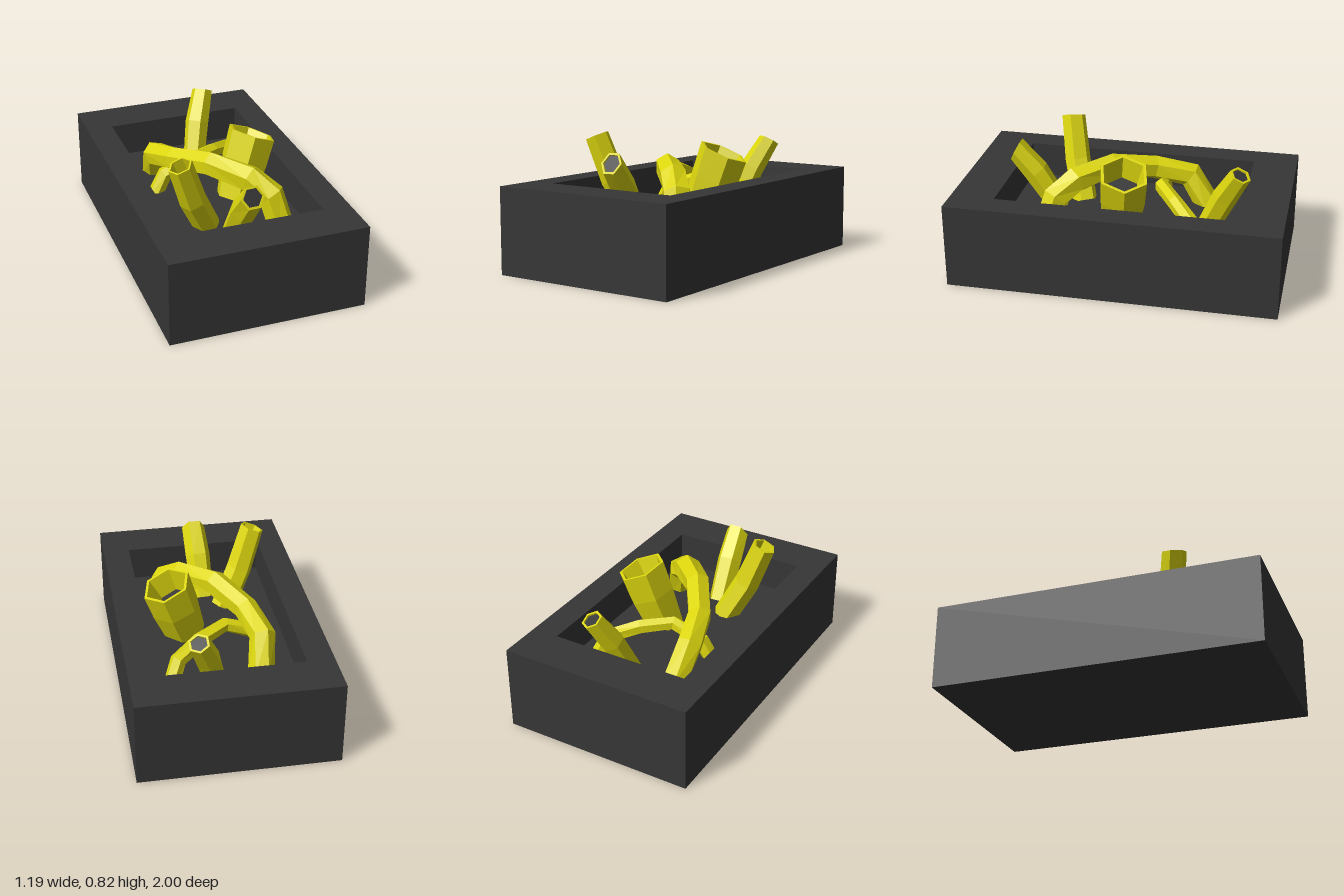
import * as THREE from 'three';

const W = 1.19, L = 2, H = 0.525; // outer size of the tray
const PX = 0.43, PZ = 0.73, FLOOR = 0.31; // pocket half sizes and floor height
const SIDES = 6;

// Joins hexagonal rings into a faceted, single-sided skin.
function loft(rings) {
  const pos = [];
  for (let i = 0; i < rings.length - 1; i++) {
    const a = rings[i], b = rings[i + 1];
    for (let k = 0; k < SIDES; k++) {
      const n = (k + 1) % SIDES;
      for (const p of [a[k], a[n], b[n], a[k], b[n], b[k]]) pos.push(p.x, p.y, p.z);
    }
  }
  const g = new THREE.BufferGeometry();
  g.setAttribute('position', new THREE.Float32BufferAttribute(pos, 3));
  g.computeVertexNormals();
  return g;
}

// One hexagon around a centre, square to the tangent.
function ring(center, tangent, side, radius, twist) {
  const u = side.clone().addScaledVector(tangent, -side.dot(tangent)).normalize();
  const v = tangent.clone().cross(u);
  return Array.from({ length: SIDES }, (_, k) => {
    const a = twist + (k / SIDES) * Math.PI * 2;
    return center.clone().addScaledVector(u, radius * Math.cos(a)).addScaledVector(v, radius * Math.sin(a));
  });
}

// path rows are [x, y, z, radius]; a hollow gives the open end a rim and a dark bottom.
function tube(name, path, mats, { twist = 0, hollow = null } = {}) {
  const group = new THREE.Group();
  group.name = name;
  const pts = path.map(([x, y, z]) => new THREE.Vector3(x, y, z));
  const last = pts.length - 1;
  const run = pts[last].clone().sub(pts[0]);
  const side = run.cross(new THREE.Vector3(0, 1, 0)).normalize();
  const tangents = pts.map((p, i) => {
    const t = new THREE.Vector3();
    if (i > 0) t.add(p.clone().sub(pts[i - 1]).normalize());
    if (i < last) t.add(pts[i + 1].clone().sub(p).normalize());
    return t.normalize();
  });
  const rings = pts.map((p, i) => ring(p, tangents[i], side, path[i][3], twist));

  if (hollow) {
    const t = hollow.normal ? new THREE.Vector3(...hollow.normal).normalize() : tangents[last];
    const end = pts[last], r = path[last][3];
    const bottom = end.clone().addScaledVector(t, -hollow.depth);
    rings[last] = ring(end, t, side, r, twist);
    rings.push(ring(end, t, side, r * hollow.rim, twist));
    const low = ring(bottom, t, side, r * hollow.floor, twist);
    rings.push(low);
    const disc = loft([low, Array(SIDES).fill(bottom)]);
    const hole = new THREE.Mesh(disc, mats.dark);
    hole.name = name + 'Hole';
    group.add(hole);
  }
  const skin = new THREE.Mesh(loft(rings), mats.yellow);
  skin.name = name + 'Skin';
  group.add(skin);
  return group;
}

export function createModel() {
  const model = new THREE.Group();
  model.name = 'tubeTray';
  const dark = new THREE.MeshStandardMaterial({ color: 0x363636 });
  dark.name = 'charcoal';
  const yellow = new THREE.MeshStandardMaterial({ color: 0xdcd60e });
  yellow.name = 'yellow';
  const mats = { dark, yellow };

  // Tray wall with a rectangular pocket
  const outline = new THREE.Shape([
    new THREE.Vector2(-W / 2, -L / 2), new THREE.Vector2(W / 2, -L / 2),
    new THREE.Vector2(W / 2, L / 2), new THREE.Vector2(-W / 2, L / 2)]);
  outline.holes.push(new THREE.Path([
    new THREE.Vector2(-PX, -PZ), new THREE.Vector2(-PX, PZ),
    new THREE.Vector2(PX, PZ), new THREE.Vector2(PX, -PZ)]));
  const wallGeo = new THREE.ExtrudeGeometry(outline, { depth: H, bevelEnabled: false });
  wallGeo.rotateX(-Math.PI / 2);
  const wall = new THREE.Mesh(wallGeo, dark);
  wall.name = 'trayWall';
  model.add(wall);

  // Raised pocket floor
  const floor = new THREE.Mesh(new THREE.BoxGeometry(PX * 2, FLOOR, PZ * 2), dark);
  floor.name = 'trayFloor';
  floor.position.y = FLOOR / 2;
  model.add(floor);

  // Long arch crossing the pocket
  model.add(tube('longArch', [
    [-0.22, 0.28, -0.48, 0.08], [-0.25, 0.48, -0.35, 0.08], [-0.19, 0.54, -0.13, 0.075],
    [-0.04, 0.595, 0.11, 0.078], [0.14, 0.56, 0.3, 0.085], [0.24, 0.48, 0.4, 0.085],
    [0.29, 0.28, 0.46, 0.08]], mats, { twist: Math.PI / 6 }));

  // Thin arch at the back
  model.add(tube('thinArch', [
    [-0.31, 0.28, -0.18, 0.05], [-0.24, 0.41, -0.19, 0.05], [-0.05, 0.48, -0.2, 0.045],
    [0.12, 0.46, -0.31, 0.047], [0.27, 0.41, -0.43, 0.05], [0.32, 0.28, -0.48, 0.05]],
  mats, { twist: Math.PI / 6 }));

  // Wide open stub
  model.add(tube('wideStub', [
    [0.15, 0.29, 0.03, 0.125], [0.225, 0.52, -0.01, 0.15], [0.28, 0.69, -0.03, 0.155]],
  mats, { twist: 0.35, hollow: { rim: 0.88, depth: 0.14, floor: 0.66, normal: [0.36, 0.9, -0.13] } }));

  // Front, back and side stalks
  model.add(tube('frontStalk', [
    [-0.02, 0.29, 0.44, 0.07], [-0.01, 0.525, 0.59, 0.08], [0, 0.67, 0.71, 0.074]],
  mats, { hollow: { rim: 0.8, depth: 0.01, floor: 0.8, normal: [0, 0.45, 0.89] } }));
  model.add(tube('backStalk', [
    [0.06, 0.29, -0.51, 0.07], [0.12, 0.525, -0.615, 0.077], [0.19, 0.705, -0.71, 0.066]],
  mats, { hollow: { rim: 0.78, depth: 0.01, floor: 0.78, normal: [0.25, 0.87, -0.4] } }));
  model.add(tube('sideStalk', [
    [-0.13, 0.29, 0.31, 0.08], [-0.245, 0.525, 0.38, 0.082], [-0.335, 0.79, 0.425, 0.075]],
  mats, { hollow: { rim: 0.84, depth: 0.2, floor: 0.7, normal: [-0.36, 0.9, 0.1] } }));

  return model;
}
